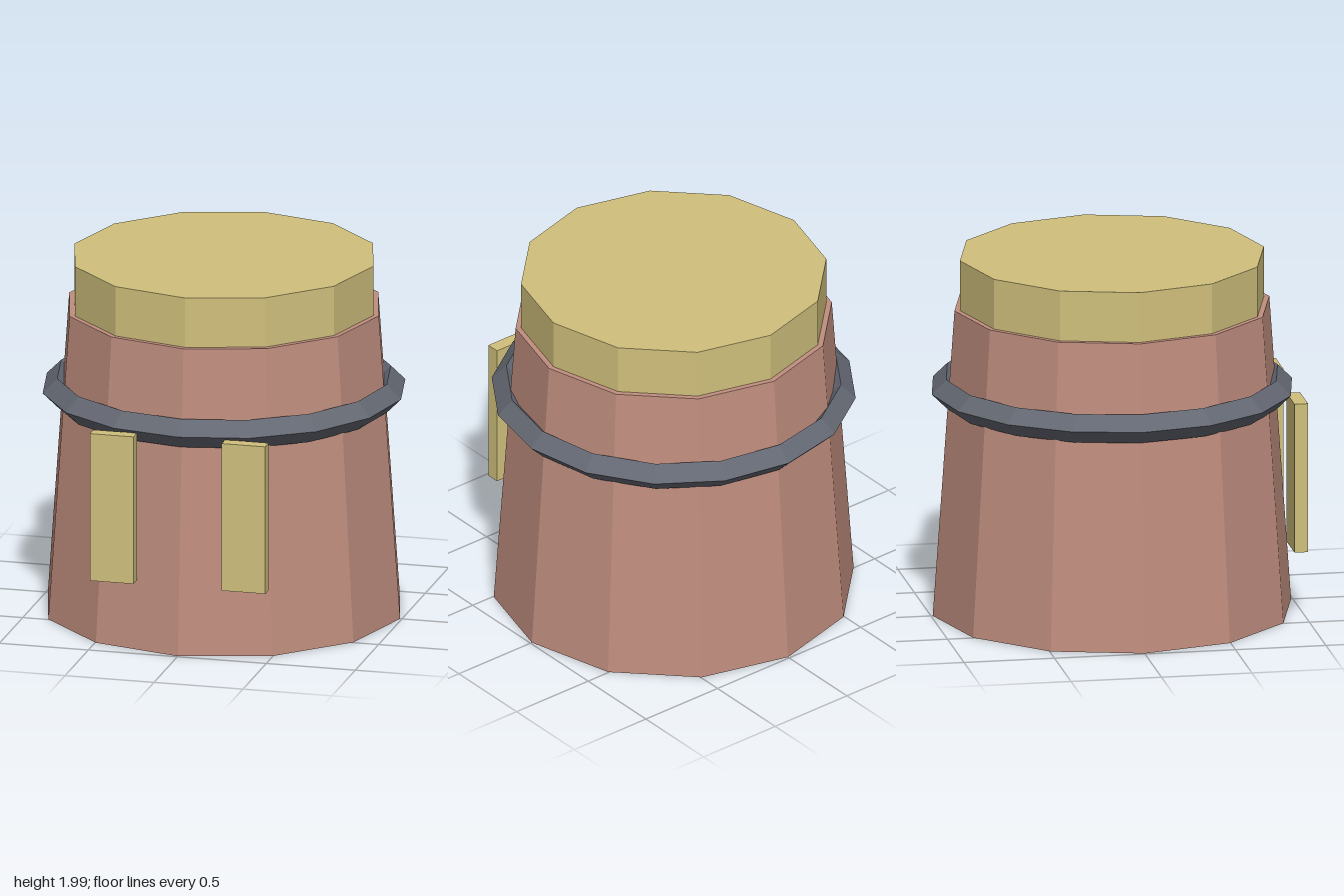
import * as THREE from 'three';

const material = (color) => new THREE.MeshStandardMaterial({ color, flatShading: true });

export function createModel() {
  const model = new THREE.Group();
  const clay = material(0xc08e7f);
  const straw = material(0xd0c07c);
  const iron = material(0x646872);

  const add = (name, geometry, mat, x, y, z) => {
    const mesh = new THREE.Mesh(geometry, mat);
    mesh.name = name;
    mesh.position.set(x, y, z);
    model.add(mesh);
    return mesh;
  };

  // Tapered twelve-sided body
  add('body', new THREE.CylinderGeometry(0.87, 0.99, 1.71, 12), clay, 0, 0.855, 0);

  // Straight lid, sunk slightly into the body
  add('lid', new THREE.CylinderGeometry(0.84, 0.84, 0.32, 12), straw, 0, 1.83, 0);

  // Diamond-section band around the body
  const band = add('band', new THREE.TorusGeometry(0.915, 0.08, 4, 16), iron, 0, 1.245, 0);
  band.rotation.x = Math.PI / 2;

  // Pair of upright slats on the front
  for (const [name, side] of [['leftSlat', 1], ['rightSlat', -1]]) {
    add(name, new THREE.BoxGeometry(0.245, 0.835, 0.075), straw, side * 0.37, 0.81, 0.957);
  }

  return model;
}
